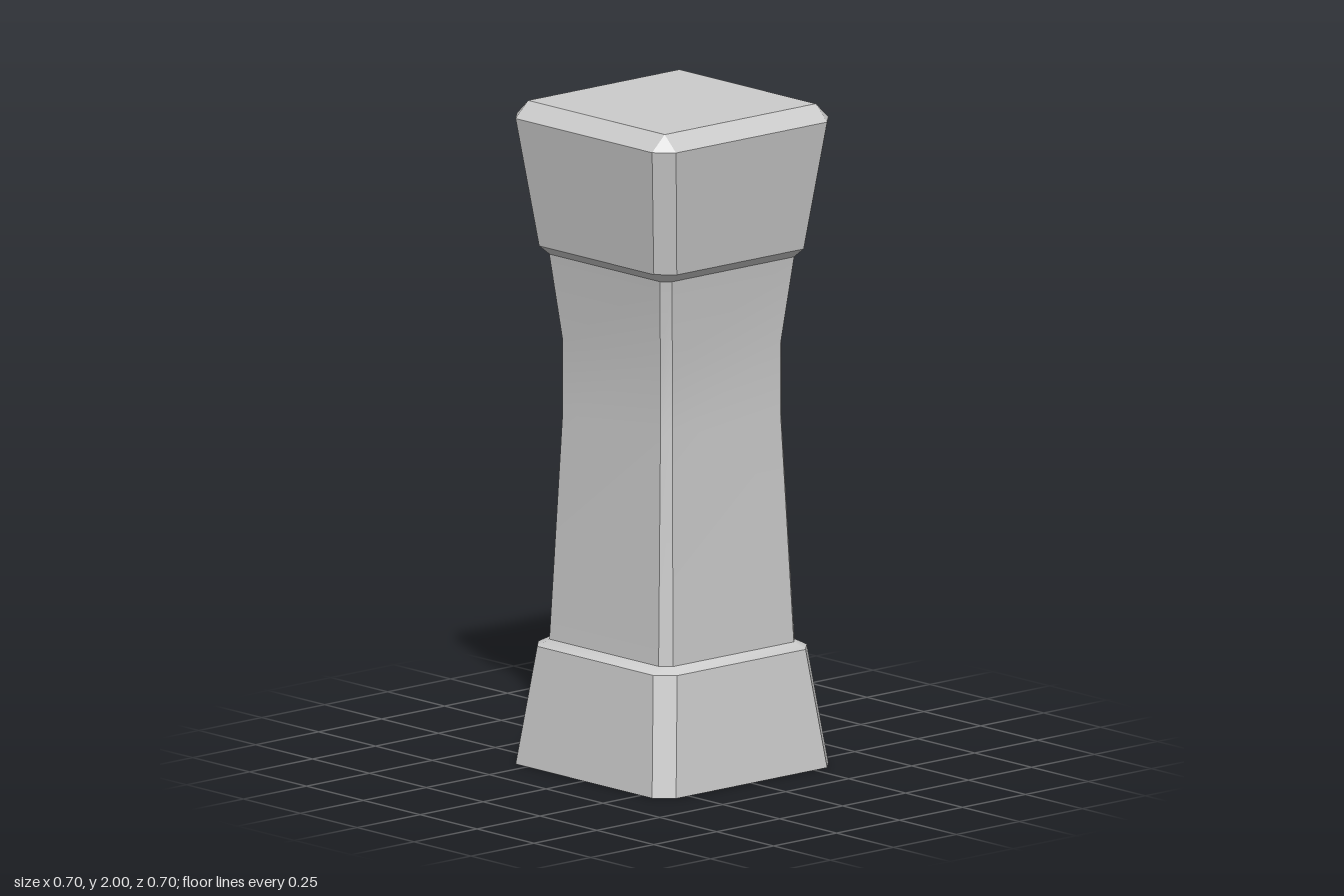
import * as THREE from 'three';
import { toCreasedNormals } from 'three/addons/utils/BufferGeometryUtils.js';

const material = new THREE.MeshStandardMaterial({ color: 0xcccccc, side: THREE.DoubleSide });

// Square section with cut corners: half width h, straight part reaching c, at height y
function section([y, h, c]) {
  return [[c, h], [h, c], [h, -c], [c, -h], [-c, -h], [-h, -c], [-h, c], [-c, h]]
    .map(([x, z]) => new THREE.Vector3(x, y, z));
}

// Open skin through a stack of sections, listed from bottom to top
function loft(name, profile, capped = false) {
  const rings = profile.map(section);
  const points = [];
  const triangle = (a, b, c) => {
    const area = b.clone().sub(a).cross(c.clone().sub(a)).length();
    if (area > 1e-8) points.push(a, b, c);
  };
  for (let r = 0; r < rings.length - 1; r++) {
    for (let i = 0; i < 8; i++) {
      const j = (i + 1) % 8;
      const [a, b, c, d] = [rings[r][i], rings[r][j], rings[r + 1][j], rings[r + 1][i]];
      triangle(a, b, c);
      triangle(a, c, d);
    }
  }
  if (capped) {
    const top = rings[rings.length - 1];
    for (let i = 1; i < 7; i++) triangle(top[0], top[i], top[i + 1]);
  }
  const geometry = new THREE.BufferGeometry().setFromPoints(points);
  const mesh = new THREE.Mesh(toCreasedNormals(geometry, Math.PI / 7), material);
  mesh.name = name;
  return mesh;
}

export function createModel() {
  const group = new THREE.Group();
  group.name = 'pillar';
  group.add(
    // Hollow flared foot with a turned-in lower lip and a sloping ledge on top
    loft('base', [
      [0.02, 0.33, 0.285],
      [0, 0.35, 0.3],
      [0.357, 0.305, 0.255],
      [0.376, 0.27, 0.24],
    ]),
    // Waisted shaft
    loft('shaft', [
      [0.376, 0.27, 0.24],
      [1.06, 0.24, 0.215],
      [1.28, 0.24, 0.215],
      [1.54, 0.268, 0.243],
    ]),
    // Flared head with bevelled edges and a flat top
    loft('capital', [
      [1.54, 0.268, 0.243],
      [1.568, 0.3, 0.252],
      [1.953, 0.35, 0.3],
      [2, 0.3, 0.3],
    ], true),
  );
  return group;
}
